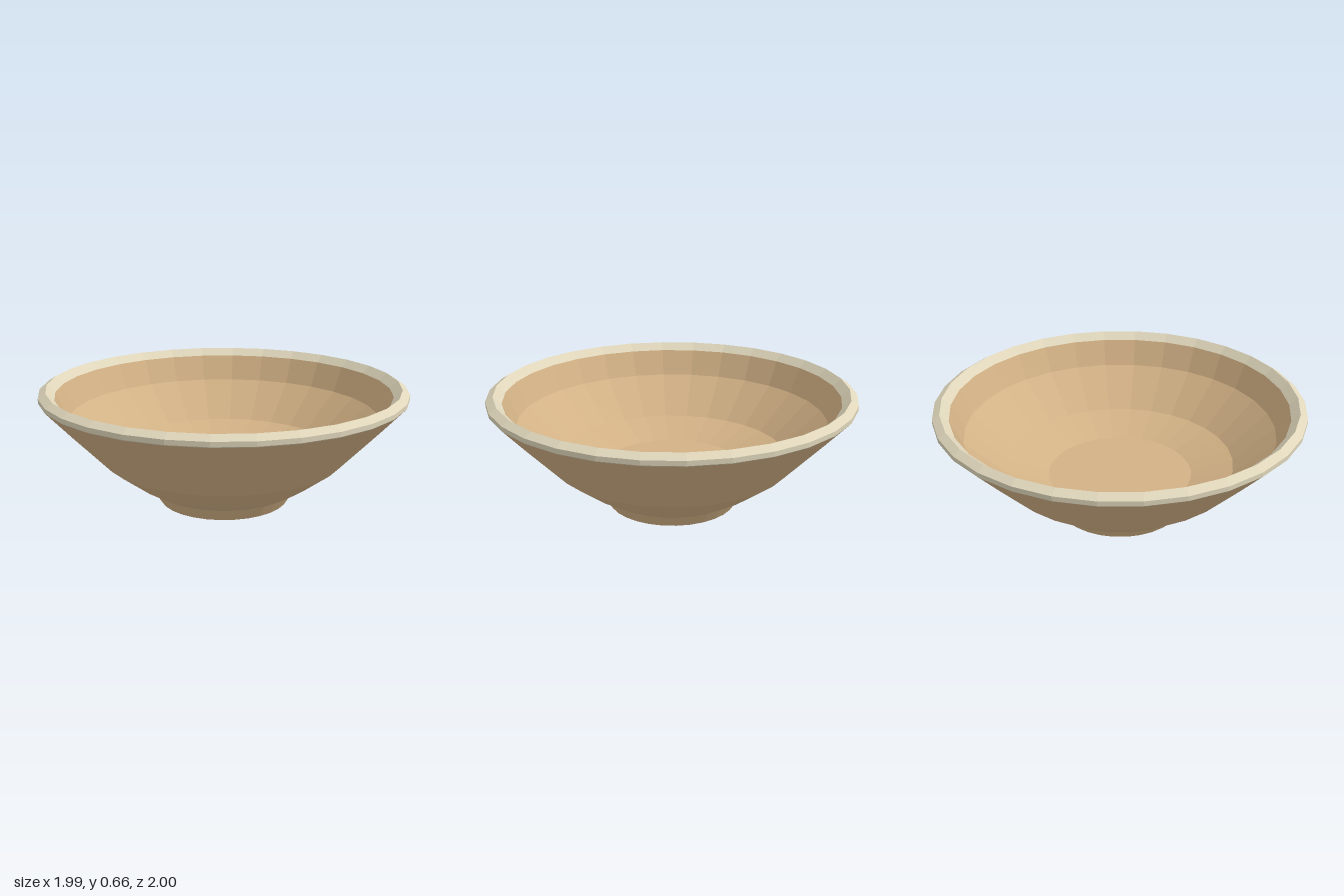
import * as THREE from 'three';

const SIDES = 30;

// Faceted ring swept from [radius, height] points; going up the outside and down the inside
function ring(name, profile, material) {
  const points = profile.map(([r, y]) => new THREE.Vector2(r, y));
  const geometry = new THREE.LatheGeometry(points, SIDES).toNonIndexed();
  geometry.computeVertexNormals(); // one normal per facet
  const mesh = new THREE.Mesh(geometry, material);
  mesh.name = name;
  return mesh;
}

export function createModel() {
  const clay = new THREE.MeshStandardMaterial({ color: 0xd2b185 });
  clay.name = 'tan clay';
  const glaze = new THREE.MeshStandardMaterial({ color: 0xded5ba });
  glaze.name = 'cream glaze';

  const bowl = new THREE.Group();
  bowl.name = 'bowl';
  bowl.add(
    // Narrow foot with a closed underside
    ring('foot', [[0, 0], [0.355, 0], [0.4, 0.07]], clay),
    // Outer wall
    ring('outerWall', [[0.4, 0.07], [0.5, 0.13], [0.66, 0.25], [0.87, 0.47], [0.995, 0.605]], clay),
    // Bevelled lip
    ring('rim', [[0.995, 0.605], [1, 0.61], [1, 0.635], [0.96, 0.66], [0.915, 0.62]], glaze),
    // Inner wall down to the flat floor
    ring('innerWall', [[0.915, 0.62], [0.85, 0.478], [0.63, 0.277], [0.4, 0.2], [0, 0.2]], clay),
  );
  return bowl;
}
